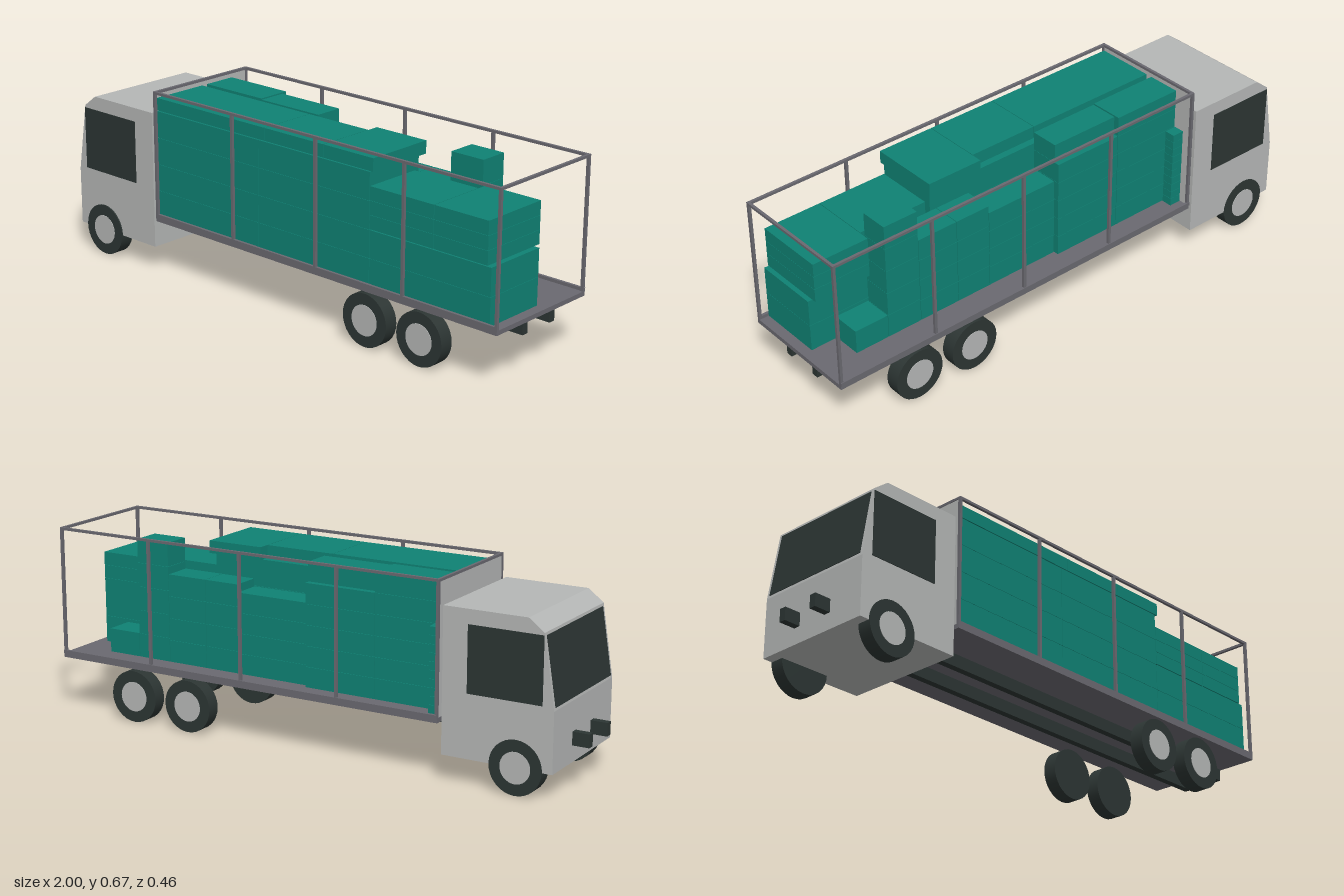
import * as THREE from 'three';

const mat = (name, color) => Object.assign(new THREE.MeshStandardMaterial({ color }), { name });

export function createModel() {
  const paint = mat('light grey paint', 0xb5b7b6);
  const dark = mat('dark rubber and glass', 0x2c3533);
  const steel = mat('grey steel', 0x6a6970);
  const teal = mat('teal cargo', 0x0f8274);

  const truck = new THREE.Group();
  truck.name = 'truck';
  const group = (name) => {
    const g = new THREE.Group();
    g.name = name;
    truck.add(g);
    return g;
  };
  // Box given by its minimum and maximum along each axis
  const box = (parent, name, m, x0, x1, y0, y1, z0, z1) => {
    const mesh = new THREE.Mesh(new THREE.BoxGeometry(x1 - x0, y1 - y0, z1 - z0), m);
    mesh.position.set((x0 + x1) / 2, (y0 + y1) / 2, (z0 + z1) / 2);
    mesh.name = name;
    parent.add(mesh);
    return mesh;
  };

  // Cab: side profile extruded across the width, nose towards -x
  const cab = group('cab');
  const profile = new THREE.Shape([
    [-0.94, 0.092], [-0.545, 0.092], [-0.545, 0.59], [-0.845, 0.59], [-0.9, 0.548], [-0.94, 0.3],
  ].map(([x, y]) => new THREE.Vector2(x, y)));
  const shell = new THREE.ExtrudeGeometry(profile, { depth: 0.448, bevelEnabled: false });
  shell.translate(0, 0, -0.224);
  const body = new THREE.Mesh(shell, paint);
  body.name = 'cabBody';
  cab.add(body);
  for (const s of [-1, 1]) {
    box(cab, 'sideWindow', dark, -0.9, -0.635, 0.312, 0.54, s * 0.2245 - 0.002, s * 0.2245 + 0.002);
  }
  const windshield = box(cab, 'windshield', dark, -0.922, -0.918, 0.308, 0.54, -0.212, 0.212);
  windshield.rotation.z = -Math.atan2(0.04, 0.248);

  // Chassis rails run under the whole truck
  const chassis = group('chassis');
  for (const z of [-0.068, 0.072]) {
    box(chassis, 'chassisRail', dark, -1, 0.985, 0.15, 0.196, z - 0.0125, z + 0.0125);
  }

  // Wheels with pale hubs on the outer side only
  for (const x of [-0.811, 0.456, 0.686]) {
    for (const s of [-1, 1]) {
      const wheel = group('wheel');
      wheel.position.set(x, 0.0935, s * 0.202 + 0.001);
      const tyre = new THREE.Mesh(new THREE.CylinderGeometry(0.0935, 0.0935, 0.051, 32), dark);
      tyre.name = 'tyre';
      const hub = new THREE.Mesh(new THREE.CylinderGeometry(0.054, 0.054, 0.003, 32), paint);
      hub.name = 'hub';
      hub.position.z = s * 0.0255;
      tyre.rotation.x = hub.rotation.x = Math.PI / 2;
      wheel.add(tyre, hub);
    }
  }

  // Flat bed with lips, open cage and front bulkhead
  const bed = group('cargoBed');
  const [zr, zl] = [-0.226, 0.2295], b = 0.01;
  box(bed, 'floor', steel, -0.53, 0.995, 0.195, 0.211, zr, zl);
  box(bed, 'lip', steel, -0.53, 0.995, 0.209, 0.222, zl - b, zl);
  box(bed, 'lip', steel, -0.53, 0.995, 0.209, 0.222, zr - 0.003, zr + b - 0.003);
  for (const z of [zr, zl - b]) {
    for (const x of [-0.53, -0.152, 0.23, 0.607, 0.985]) {
      box(bed, 'post', steel, x, x + b, 0.21, 0.663, z, z + b);
    }
    box(bed, 'topRail', steel, -0.53, 0.995, 0.663, 0.672, z, z + b);
  }
  for (const x of [-0.53, 0.985]) {
    box(bed, 'crossRail', steel, x, x + b, 0.663, 0.672, zr + b, zl - b);
  }
  box(bed, 'bulkhead', paint, -0.528, -0.524, 0.211, 0.663, zr + b, zl - b);

  // Cargo stacks: x range, z range, bottom, top, number of layers
  const cargo = group('cargo');
  const gap = 0.001;
  const stack = (x0, x1, z0, z1, y0, y1, layers) => {
    const h = (y1 - y0) / layers;
    for (let i = 0; i < layers; i++) {
      box(cargo, 'crate', teal, x0 + gap, x1 - gap,
        y0 + i * h + gap / 2, y0 + (i + 1) * h - gap / 2, z0 + gap, z1 - gap);
    }
  };
  // Large crates on the +z side
  stack(-0.522, -0.03, -0.022, 0.22, 0.211, 0.601, 4);
  stack(-0.03, 0.466, -0.022, 0.22, 0.211, 0.601, 4);
  stack(0.466, 0.96, -0.022, 0.22, 0.211, 0.406, 2);
  // Flatter crates on top of them
  stack(0.466, 0.73, 0, 0.22, 0.408, 0.554, 3);
  stack(0.73, 0.945, -0.042, 0.22, 0.408, 0.554, 3);
  stack(-0.522, 0, 0, 0.22, 0.603, 0.649, 1);
  stack(0, 0.265, 0, 0.22, 0.603, 0.649, 1);
  stack(0.265, 0.48, -0.042, 0.22, 0.603, 0.649, 1);
  // Smaller crates on the -z side
  stack(-0.522, -0.25, -0.147, -0.022, 0.211, 0.649, 6);
  stack(-0.25, 0.02, -0.147, -0.022, 0.211, 0.576, 5);
  stack(-0.25, 0.02, -0.128, -0.022, 0.576, 0.645, 1);
  stack(0.02, 0.305, -0.128, -0.022, 0.211, 0.502, 4);
  stack(0.305, 0.44, -0.128, -0.022, 0.211, 0.53, 4);
  stack(0.44, 0.597, -0.128, -0.022, 0.211, 0.53, 4);
  stack(0.597, 0.73, -0.128, -0.022, 0.211, 0.642, 5);
  stack(0.73, 0.86, -0.128, -0.022, 0.211, 0.298, 1);
  // Thin packets in the front corner
  stack(-0.522, -0.475, -0.189, -0.148, 0.211, 0.504, 10);

  return truck;
}
